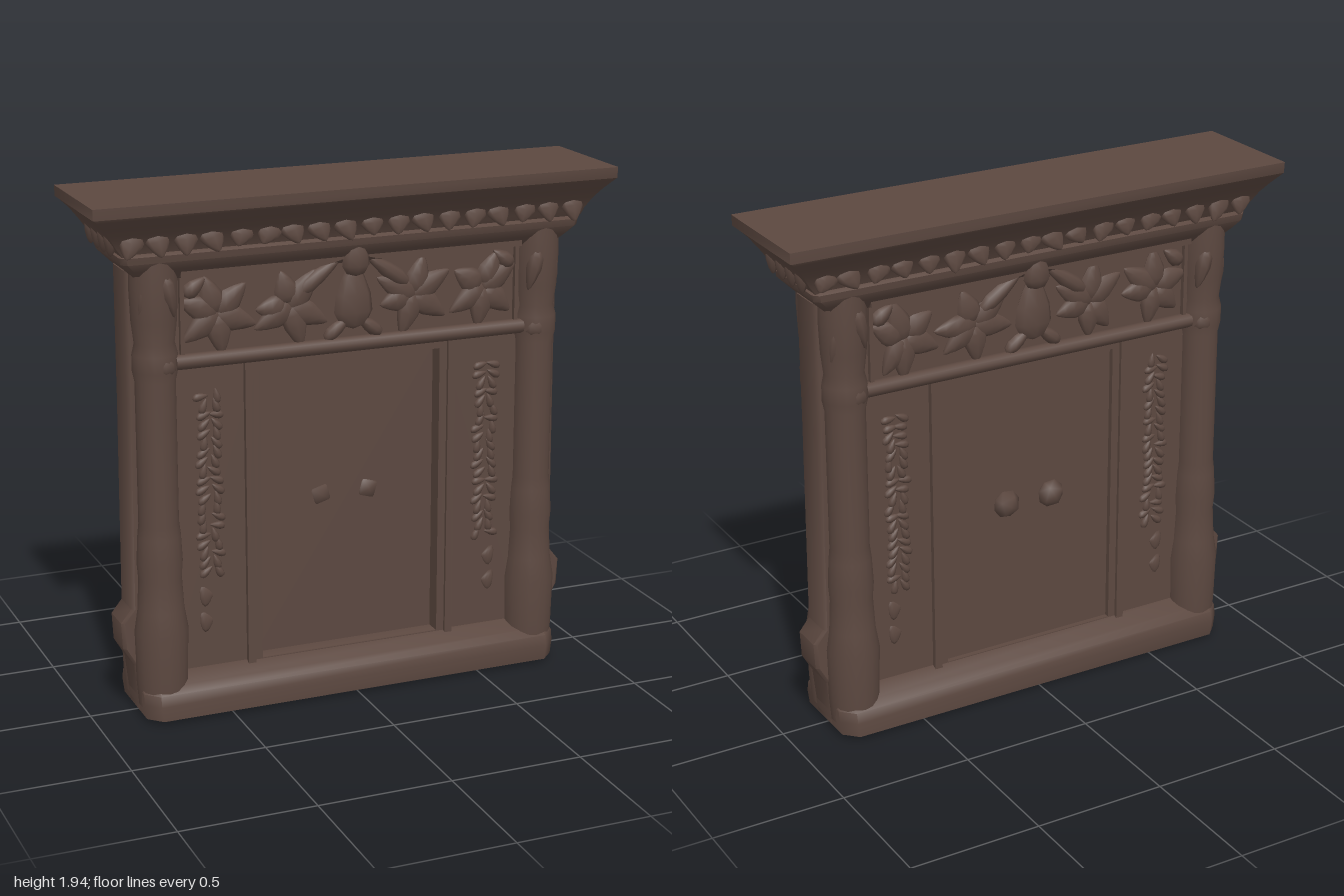
import * as THREE from 'three';
import { toCreasedNormals } from 'three/addons/utils/BufferGeometryUtils.js';

const wood = new THREE.MeshStandardMaterial({ color: 0x5c4840 });
wood.name = 'darkWood';

let seed = 7;
const rand = () => (seed = (seed * 16807) % 2147483647) / 2147483647;
const vary = (a) => (rand() * 2 - 1) * a;

function add(parent, name, geometry, x = 0, y = 0, z = 0) {
  const m = new THREE.Mesh(geometry, wood);
  m.name = name;
  m.position.set(x, y, z);
  parent.add(m);
  return m;
}

// Box given by its limits
function slab(parent, name, x0, x1, y0, y1, z0, z1) {
  return add(parent, name, new THREE.BoxGeometry(x1 - x0, y1 - y0, z1 - z0),
    (x0 + x1) / 2, (y0 + y1) / 2, (z0 + z1) / 2);
}

// Stack of rectangular sections [y, halfWidth, halfDepth] with cut corners, closed at both ends
function loft(levels, cut) {
  const pos = [], idx = [];
  for (const [y, w, d] of levels) {
    const u = w - cut, v = d - cut;
    for (const [x, z] of [[-u, d], [u, d], [w, v], [w, -v], [u, -d], [-u, -d], [-w, -v], [-w, v]]) pos.push(x, y, z);
  }
  const t = (levels.length - 1) * 8;
  for (let i = 0; i < t; i += 8) {
    for (let k = 0; k < 8; k++) {
      const a = i + k, b = i + (k + 1) % 8;
      idx.push(a, b, b + 8, a, b + 8, a + 8);
    }
  }
  for (let k = 1; k < 7; k++) idx.push(0, k + 1, k, t, t + k, t + k + 1);
  const g = new THREE.BufferGeometry();
  g.setAttribute('position', new THREE.Float32BufferAttribute(pos, 3));
  g.setIndex(idx);
  return toCreasedNormals(g, 0.85);
}

// Carved leaf: rounded base, narrow tip towards +y
const leafGeometry = (() => {
  const g = new THREE.SphereGeometry(1, 8, 6);
  const p = g.attributes.position;
  for (let i = 0; i < p.count; i++) {
    const y = p.getY(i), s = 1 - 0.55 * y;
    p.setXYZ(i, p.getX(i) * s * 0.8, y, p.getZ(i) * (1 - 0.3 * y));
  }
  g.computeVertexNormals();
  return g;
})();

function leaf(parent, name, x, y, z, width, height, thick, angle = 0) {
  const m = add(parent, name, leafGeometry, x, y, z);
  m.scale.set(width / 2, height / 2, thick);
  m.rotation.z = angle;
  return m;
}

// Plate with a rectangular opening: half widths w, bottoms and tops
function opening(w, h0, h1, ow, o0, o1, depth) {
  const rect = (a, b, c) => [[-a, b], [a, b], [a, c], [-a, c]].map((p) => new THREE.Vector2(...p));
  const shape = new THREE.Shape(rect(ow, o0, o1));
  shape.holes.push(new THREE.Path(rect(w, h0, h1)));
  return new THREE.ExtrudeGeometry(shape, { depth, bevelEnabled: false });
}

const columnProfile = [[0.088, 0.05], [0.095, 0.14], [0.1, 0.34], [0.087, 0.42], [0.08, 0.54], [0.085, 0.6], [0.08, 0.7],
  [0.074, 0.75], [0.074, 1.28], [0.083, 1.32], [0.083, 1.38], [0.073, 1.42], [0.083, 1.5], [0.088, 1.62], [0.085, 1.72]]
  .map((p) => new THREE.Vector2(...p));

// Everything carved on one face of the doorway; doorZ is the door surface
function createFace(name, doorZ) {
  const f = new THREE.Group();
  f.name = name;

  // Door with knobs
  slab(f, 'door', -0.37, 0.37, 0.15, 1.3, -0.03, doorZ);
  for (const s of [-1, 1]) {
    const knob = add(f, 'doorKnob', new THREE.OctahedronGeometry(0.055, 1), s * 0.095, 0.755, doorZ + 0.012);
    knob.scale.z = 0.7;
    knob.rotation.z = s * 0.5;
  }

  // Wall around the door, raised frame, frieze ground
  add(f, 'wall', opening(0.37, 0.155, 1.3, 0.75, 0.04, 1.7, 0.085));
  add(f, 'doorFrame', opening(0.355, 0.165, 1.285, 0.385, 0.13, 1.32, 0.092), 0, 0, 0);
  add(f, 'outerDoorFrame', opening(0.385, 0.14, 1.315, 0.415, 0.12, 1.345, 0.105));
  slab(f, 'friezeGround', -0.68, 0.68, 1.345, 1.7, 0.05, 0.102);

  // Lintel moulding
  const lintel = add(f, 'lintelMoulding', new THREE.CylinderGeometry(0.028, 0.028, 1.36, 10), 0, 1.345, 0.112);
  lintel.rotation.z = Math.PI / 2;

  // Frieze with leaf scrolls and a centre ornament
  for (const s of [-1, 1]) {
    for (const cx of [0.24, 0.52]) {
      for (let k = 0; k < 6; k++) {
        const a = k * Math.PI / 3 + 0.3 + vary(0.3);
        leaf(f, 'friezeLeaf', s * (cx + Math.cos(a) * 0.075), 1.505 + Math.sin(a) * 0.075, 0.106,
          0.11, 0.15 + vary(0.03), 0.022, Math.atan2(Math.sin(a), s * Math.cos(a)) - Math.PI / 2);
      }
    }
    leaf(f, 'friezeCornerLeaf', s * 0.6, 1.61, 0.106, 0.07, 0.1, 0.025, s * 0.9);
    leaf(f, 'friezeScroll', s * 0.13, 1.61, 0.11, 0.07, 0.22, 0.025, s * 0.95);
    leaf(f, 'centreWing', s * 0.06, 1.41, 0.11, 0.06, 0.13, 0.025, s * 0.9);
    slab(f, 'friezeBorder', s > 0 ? 0.645 : -0.66, s > 0 ? 0.66 : -0.645, 1.37, 1.68, 0.09, 0.12);
  }
  leaf(f, 'centreOrnament', 0, 1.53, 0.112, 0.17, 0.26, 0.035);
  leaf(f, 'centreCrest', 0, 1.68, 0.135, 0.12, 0.16, 0.035);

  // Shallow gable under the cornice
  const gable = new THREE.Shape();
  gable.moveTo(-0.66, 1.655);
  gable.lineTo(-0.2, 1.645);
  gable.quadraticCurveTo(-0.07, 1.65, 0, 1.69);
  gable.quadraticCurveTo(0.07, 1.65, 0.2, 1.645);
  gable.lineTo(0.66, 1.655);
  gable.lineTo(0.66, 1.74);
  gable.lineTo(-0.66, 1.74);
  add(f, 'gable', new THREE.ExtrudeGeometry(gable, { depth: 0.06, bevelEnabled: false }), 0, 0, 0.08);

  // Narrow carved strips beside the door: two crossing rows of leaves
  for (const s of [-1, 1]) {
    for (let k = 0; k < 40; k++) {
      const side = k % 2 ? 1 : -1;
      leaf(f, 'stripCarving', s * 0.55 + side * 0.024 + vary(0.008), 0.535 + (k >> 1) * 0.035, 0.085,
        0.034, 0.06, 0.013, side * (0.8 + vary(0.7)));
    }
    for (const y of [0.34, 0.44]) leaf(f, 'lowerCarving', s * 0.57, y, 0.085, 0.09, 0.05, 0.01, s * 1.4);
  }

  // Turned corner columns with bands and brackets
  for (const s of [-1, 1]) {
    add(f, 'cornerColumn', new THREE.LatheGeometry(columnProfile, 18), s * 0.745, 0, 0.081);
    leaf(f, 'columnBand', s * 0.745, 0.63, 0.13, 0.11, 0.16, 0.034);
    leaf(f, 'columnCollar', s * 0.73, 1.35, 0.13, 0.11, 0.1, 0.036);
    for (let k = 0; k < 3; k++) {
      leaf(f, 'bracketLeaf', s * (0.71 + k * 0.04), 1.58 + vary(0.03), 0.14 - k * 0.012, 0.075, 0.17, 0.035,
        Math.PI + s * (k - 1) * 0.25);
    }
  }

  // Hanging leaves under the cornice
  for (let k = 0; k < 18; k++) {
    const m = leaf(f, 'corniceLeaf', -0.85 + k * 0.1, 1.795, 0.166, 0.115, 0.1 + vary(0.02), 0.02, Math.PI + vary(0.5));
    m.rotation.x = -0.3;
  }
  return f;
}

export function createModel() {
  const model = new THREE.Group();
  model.name = 'carvedDoorway';

  // Core, plinth and cornice
  slab(model, 'core', -0.8, 0.8, 0.03, 1.75, -0.06, -0.02);
  add(model, 'plinth', loft([[0, 0.79, 0.15], [0.015, 0.825, 0.187], [0.07, 0.832, 0.187], [0.11, 0.832, 0.178],
    [0.135, 0.825, 0.15], [0.165, 0.8, 0.085]], 0.05));
  add(model, 'upperMoulding', loft([[1.65, 0.81, 0.12], [1.69, 0.85, 0.15], [1.72, 0.88, 0.166], [1.745, 0.885, 0.168],
    [1.76, 0.86, 0.15]], 0.02));
  add(model, 'cornice', loft([[1.74, 0.87, 0.152], [1.78, 0.9, 0.162], [1.825, 0.93, 0.182], [1.86, 0.955, 0.208],
    [1.89, 0.985, 0.23], [1.9, 0.998, 0.235], [1.94, 1, 0.235]], 0.002));

  // Flat side panels swelling into a foot near the ground
  add(model, 'sidePanels', loft([[0.02, 0.826, 0.07], [0.2, 0.845, 0.07], [0.27, 0.885, 0.07], [0.37, 0.89, 0.07],
    [0.42, 0.85, 0.07], [1.2, 0.845, 0.07], [1.68, 0.845, 0.07]], 0.012)).scale.z = 1;
  const [panels] = model.children.slice(-1);
  model.remove(panels);
  for (const s of [-1, 1]) {
    const foot = [[0.02, 0.026], [0.2, 0.045], [0.27, 0.085], [0.37, 0.09], [0.42, 0.05], [1.2, 0.045], [1.68, 0.045]];
    add(model, 'sidePanel', loft(foot.map(([y, w]) => [y, w, 0.07]), 0.012), s * 0.8);
    for (let k = 0; k < 4; k++) {
      const m = leaf(model, 'sideCorniceLeaf', s * 0.905, 1.795, -0.115 + k * 0.077, 0.085, 0.1, 0.022, Math.PI);
      m.rotation.y = Math.PI / 2;
    }
  }

  // Front door sits deeper than the back one
  const back = createFace('backFace', 0.072);
  back.rotation.y = Math.PI;
  model.add(createFace('frontFace', -0.005), back);
  return model;
}
